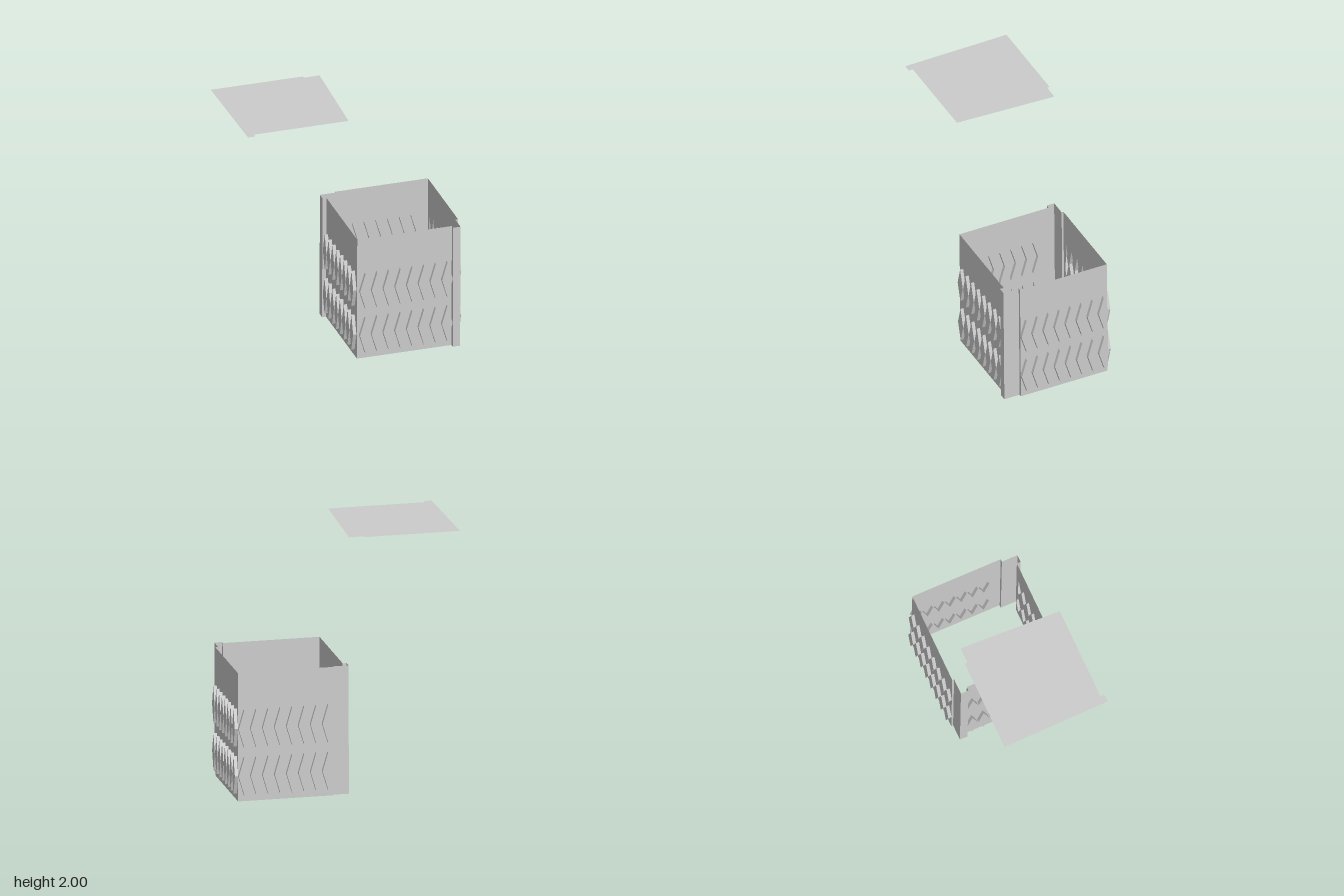
import * as THREE from 'three';
import { mergeGeometries } from 'three/addons/utils/BufferGeometryUtils.js';

const HEIGHT = 1, DEPTH = 0.026;      // wall height, how far the diamonds stand out
const HALF_W = 0.043, HALF_H = 0.147; // diamond half sizes
const PITCH = 0.0925, COUNT = 8, ROWS = [0.198, 0.567];

const material = new THREE.MeshStandardMaterial({
  color: 0xcccccc, flatShading: true, side: THREE.DoubleSide,
});

// The walls lean very slightly towards the front
function lean(geometry) {
  const p = geometry.attributes.position;
  for (let i = 0; i < p.count; i++) p.setZ(i, p.getZ(i) + 0.008 * (p.getY(i) - 0.5));
  geometry.computeVertexNormals();
  return geometry;
}

function addMesh(group, name, geometry) {
  const mesh = new THREE.Mesh(geometry, material);
  mesh.name = name;
  group.add(mesh);
}

function diamondPoints(cx, cy) {
  return [[0, -HALF_H], [HALF_W, 0], [0, HALF_H], [-HALF_W, 0]]
    .map(([x, y]) => new THREE.Vector2(cx + x, cy + y));
}

// Thin wall with diamond pockets pushed outward; local x runs along the wall, +z is outside
function addWall(group, name, length, first, x, z, turn) {
  const sheet = new THREE.Shape([[0, 0], [length, 0], [length, HEIGHT], [0, HEIGHT]]
    .map(([a, b]) => new THREE.Vector2(a, b)));
  const pockets = [];
  for (const cy of ROWS) {
    for (let i = 0; i < COUNT; i++) {
      const cx = first + i * PITCH;
      const points = diamondPoints(cx, cy);
      sheet.holes.push(new THREE.Path(points));
      // pocket face
      pockets.push(new THREE.ShapeGeometry(new THREE.Shape(points))
        .translate(0, 0, DEPTH).toNonIndexed());
      // pocket sides
      pockets.push(new THREE.CylinderGeometry(1, 1, DEPTH, 4, 1, true)
        .rotateX(Math.PI / 2).scale(HALF_W, HALF_H, 1)
        .translate(cx, cy, DEPTH / 2).toNonIndexed());
    }
  }
  const place = (g) => lean(g.rotateY(turn).translate(x, 0, z));
  addMesh(group, name, place(new THREE.ShapeGeometry(sheet).toNonIndexed()));
  addMesh(group, name + 'Diamonds', place(mergeGeometries(pockets)));
}

// Upright strip that follows a stepped plan line of [x, z] points
function addCornerFlap(group, name, plan) {
  const parts = [];
  for (let i = 0; i + 1 < plan.length; i++) {
    const [ax, az] = plan[i], [bx, bz] = plan[i + 1];
    parts.push(new THREE.PlaneGeometry(Math.hypot(bx - ax, bz - az), HEIGHT)
      .rotateY(-Math.atan2(bz - az, bx - ax))
      .translate((ax + bx) / 2, HEIGHT / 2, (az + bz) / 2).toNonIndexed());
  }
  addMesh(group, name, lean(mergeGeometries(parts)));
}

export function createModel() {
  const model = new THREE.Group();
  model.name = 'boxWithLid';

  const walls = new THREE.Group();
  walls.name = 'walls';
  model.add(walls);
  addWall(walls, 'frontWall', 0.747, 0.058, 0.015, 0.407, 0);
  addWall(walls, 'leftWall', 0.727, 0.04, 0.842, 0.31, Math.PI / 2);
  addWall(walls, 'backWall', 0.732, 0.042, 0.842, -0.417, Math.PI);
  addWall(walls, 'rightWall', 0.747, 0.042, 0.015, -0.34, -Math.PI / 2);

  // Stepped overlaps at two opposite corners
  addCornerFlap(walls, 'frontCornerFlap',
    [[0.762, 0.407], [0.762, 0.438], [0.82, 0.438], [0.82, 0.31], [0.842, 0.31]]);
  addCornerFlap(walls, 'backCornerFlap',
    [[0.11, -0.417], [0.11, -0.402], [-0.016, -0.402], [-0.016, -0.34], [0.015, -0.34]]);

  // Flat lid floating above and beside the box, with a tab at two corners
  const outline = [[-0.87, -0.422], [-0.145, -0.422], [-0.14, -0.401], [-0.018, -0.401],
    [-0.05, 0.4], [-0.795, 0.4], [-0.797, 0.433], [-0.855, 0.433]];
  const lid = new THREE.Shape(outline.map(([x, z]) => new THREE.Vector2(x, -z)));
  addMesh(model, 'lid', new THREE.ShapeGeometry(lid).rotateX(-Math.PI / 2).translate(0, 2, 0));
  return model;
}
